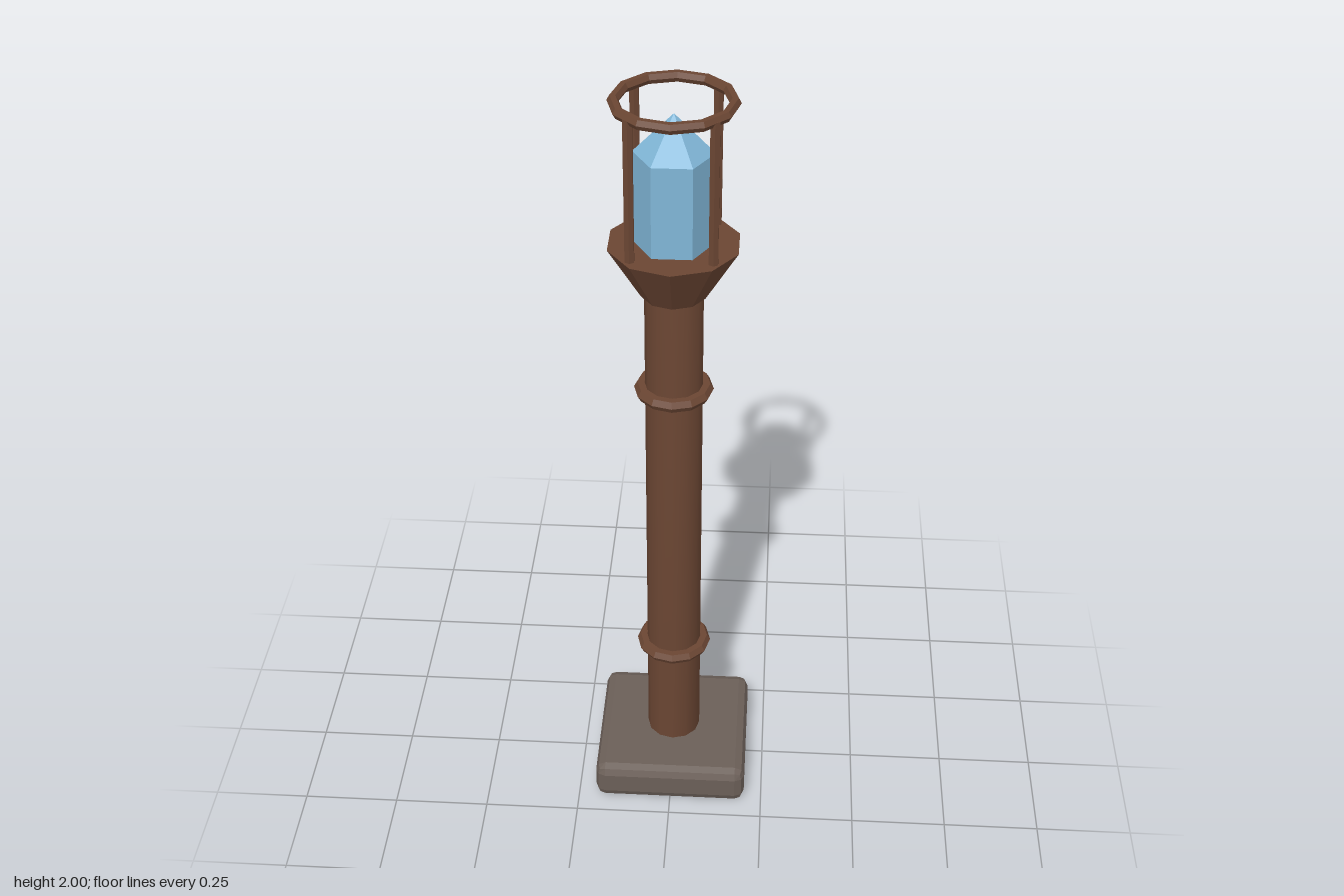
import * as THREE from 'three';
import { mergeVertices } from 'three/addons/utils/BufferGeometryUtils.js';
import { RoundedBoxGeometry } from 'three/addons/geometries/RoundedBoxGeometry.js';

export function createModel() {
  const model = new THREE.Group();
  model.name = 'crystalLampPost';

  const material = (name, color) => {
    const m = new THREE.MeshStandardMaterial({ color });
    m.name = name;
    return m;
  };
  const bronze = material('bronze', 0x6b4633);
  const stone = material('stone', 0x6b5f58);
  const crystalBlue = material('crystalBlue', 0x80b6d7);

  // Faceted parts get one normal per face
  const facet = (geometry) => {
    const flat = geometry.index ? geometry.toNonIndexed() : geometry;
    flat.computeVertexNormals();
    return flat;
  };
  const add = (name, geometry, mat, x = 0, y = 0, z = 0, parent = model) => {
    const mesh = new THREE.Mesh(geometry, mat);
    mesh.name = name;
    mesh.position.set(x, y, z);
    parent.add(mesh);
    return mesh;
  };
  const ring = (radius, tube) => facet(new THREE.TorusGeometry(radius, tube, 6, 12).rotateX(Math.PI / 2));

  // Chamfered stone foot
  add('base', facet(new RoundedBoxGeometry(0.406, 0.108, 0.406, 1, 0.026)), stone, 0, 0.054, 0);

  // Tall post, smooth over its ends
  let shaft = new THREE.CylinderGeometry(0.071, 0.071, 1.42, 12);
  shaft.deleteAttribute('normal');
  shaft.deleteAttribute('uv');
  shaft = mergeVertices(shaft);
  shaft.computeVertexNormals();
  add('post', shaft, bronze, 0, 0.8, 0);

  // Collars around the post
  add('lowerCollar', ring(0.081, 0.017), bronze, 0, 0.415, 0);
  add('upperCollar', ring(0.081, 0.017), bronze, 0, 1.23, 0);

  // Flared cup
  add('cup', facet(new THREE.CylinderGeometry(0.16, 0.08, 0.135, 10)), bronze, 0, 1.5675, 0);

  // Crystal: hexagonal body and point
  const crystal = new THREE.Group();
  crystal.name = 'crystal';
  crystal.rotation.y = Math.PI / 6;
  model.add(crystal);
  add('crystalBody', facet(new THREE.CylinderGeometry(0.095, 0.095, 0.235, 6, 1, true)), crystalBlue, 0, 1.7475, 0, crystal);
  add('crystalPoint', facet(new THREE.ConeGeometry(0.095, 0.095, 6, 1, true)), crystalBlue, 0, 1.9125, 0, crystal);

  // Cage: four corner bars under a ring
  const bar = facet(new THREE.CylinderGeometry(0.0125, 0.0125, 0.36, 6));
  for (const x of [-0.096, 0.096]) {
    for (const z of [-0.096, 0.096]) add('cageBar', bar, bronze, x, 1.81, z);
  }
  add('cageRing', ring(0.1365, 0.0135), bronze, 0, 1.9883, 0);

  return model;
}
